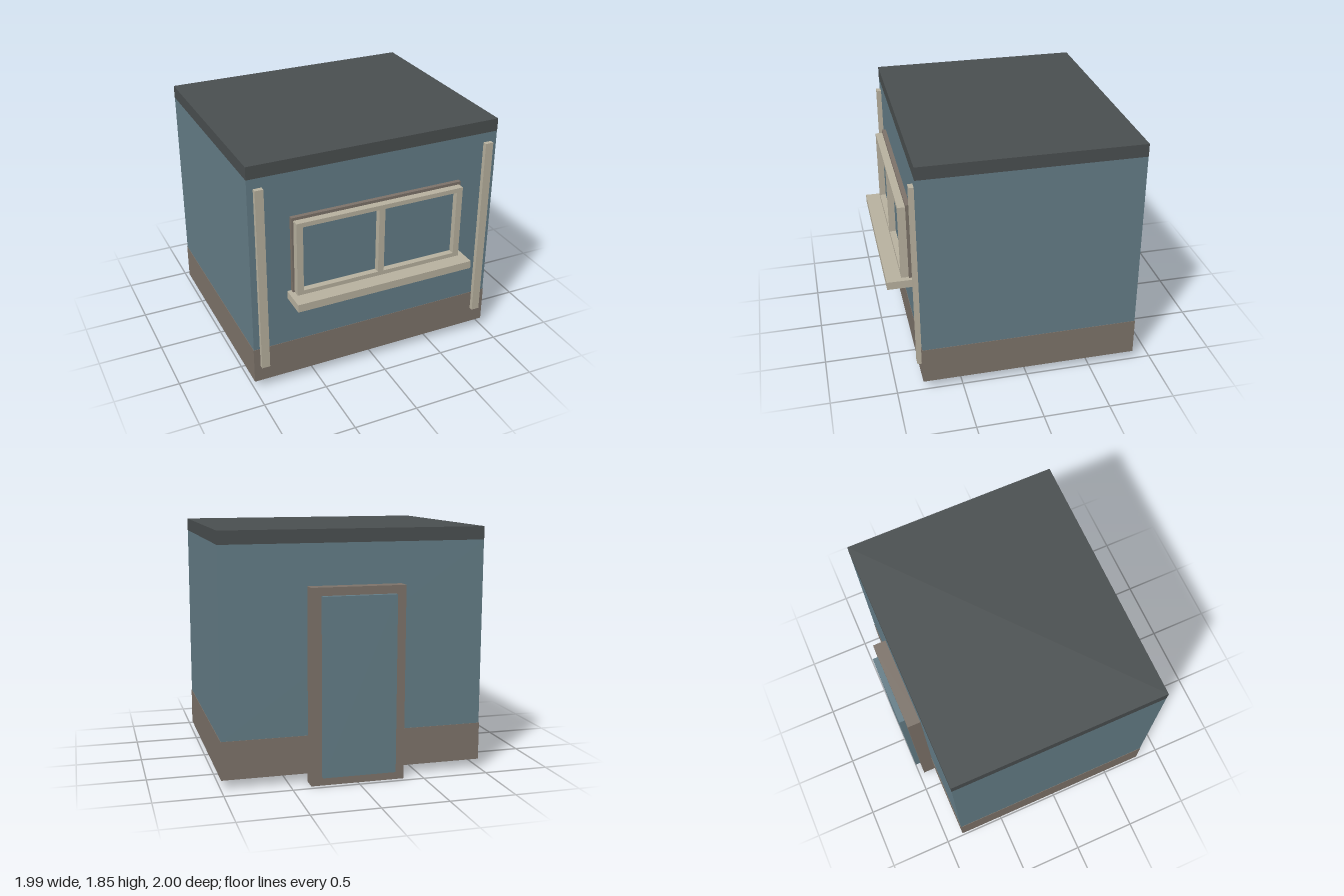
import * as THREE from 'three';

const material = (name, color) => {
  const m = new THREE.MeshStandardMaterial({ color });
  m.name = name;
  return m;
};

export function createModel() {
  const blue = material('blue paint', 0x647d87);
  const taupe = material('taupe trim', 0x7d736a);
  const cream = material('cream trim', 0xb9b2a0);
  const slate = material('slate roof', 0x4a4f50);

  const model = new THREE.Group();
  model.name = 'smallHouse';

  // Box given by its extents along each axis
  const box = (name, mat, [x0, x1], [y0, y1], [z0, z1], parent = model) => {
    const mesh = new THREE.Mesh(new THREE.BoxGeometry(x1 - x0, y1 - y0, z1 - z0), mat);
    mesh.position.set((x0 + x1) / 2, (y0 + y1) / 2, (z0 + z1) / 2);
    mesh.name = name;
    parent.add(mesh);
    return mesh;
  };

  const front = 0.797, back = -0.857;

  // Main block: plinth, walls and flat roof
  box('plinth', taupe, [-0.996, 0.996], [0.068, 0.355], [back - 0.003, front + 0.003]);
  box('walls', blue, [-0.993, 0.993], [0.355, 1.755], [back, front]);
  box('roof', slate, [-0.994, 0.994], [1.755, 1.853], [back - 0.001, front + 0.001]);

  // Corner posts on the front
  for (const [side, s] of [['left', 1], ['right', -1]]) {
    const xs = [s * 0.882, s * 0.946].sort((a, b) => a - b);
    box(side + 'Post', cream, xs, [0.2, 1.68], [front - 0.01, 0.832]);
  }

  // Window: surround, glass, sash frame with a centre bar, sill
  const windowGroup = new THREE.Group();
  windowGroup.name = 'window';
  model.add(windowGroup);
  box('windowSurround', taupe, [-0.685, 0.685], [0.78, 1.412], [front - 0.01, 0.83], windowGroup);
  box('windowGlass', blue, [-0.64, 0.64], [0.81, 1.37], [0.829, 0.838], windowGroup);

  const sash = new THREE.Shape();
  const rectangle = (path, x0, x1, y0, y1) =>
    path.moveTo(x0, y0).lineTo(x1, y0).lineTo(x1, y1).lineTo(x0, y1).closePath();
  rectangle(sash, -0.671, 0.671, 0.79, 1.39);
  for (const [x0, x1] of [[-0.622, -0.024], [0.024, 0.622]]) {
    const pane = new THREE.Path();
    rectangle(pane, x0, x1, 0.835, 1.355);
    sash.holes.push(pane);
  }
  const sashMesh = new THREE.Mesh(
    new THREE.ExtrudeGeometry(sash, { depth: 0.057, bevelEnabled: false }), cream);
  sashMesh.position.z = 0.829;
  sashMesh.name = 'windowSash';
  windowGroup.add(sashMesh);
  box('windowSill', cream, [-0.716, 0.716], [0.74, 0.802], [front - 0.01, 1], windowGroup);

  // Back door: solid frame reaching the ground, with a raised leaf
  box('doorFrame', taupe, [-0.354, 0.354], [0, 1.45], [-0.958, back + 0.01]);
  box('doorLeaf', blue, [-0.276, 0.276], [0.068, 1.39], [-1, -0.95]);

  return model;
}
